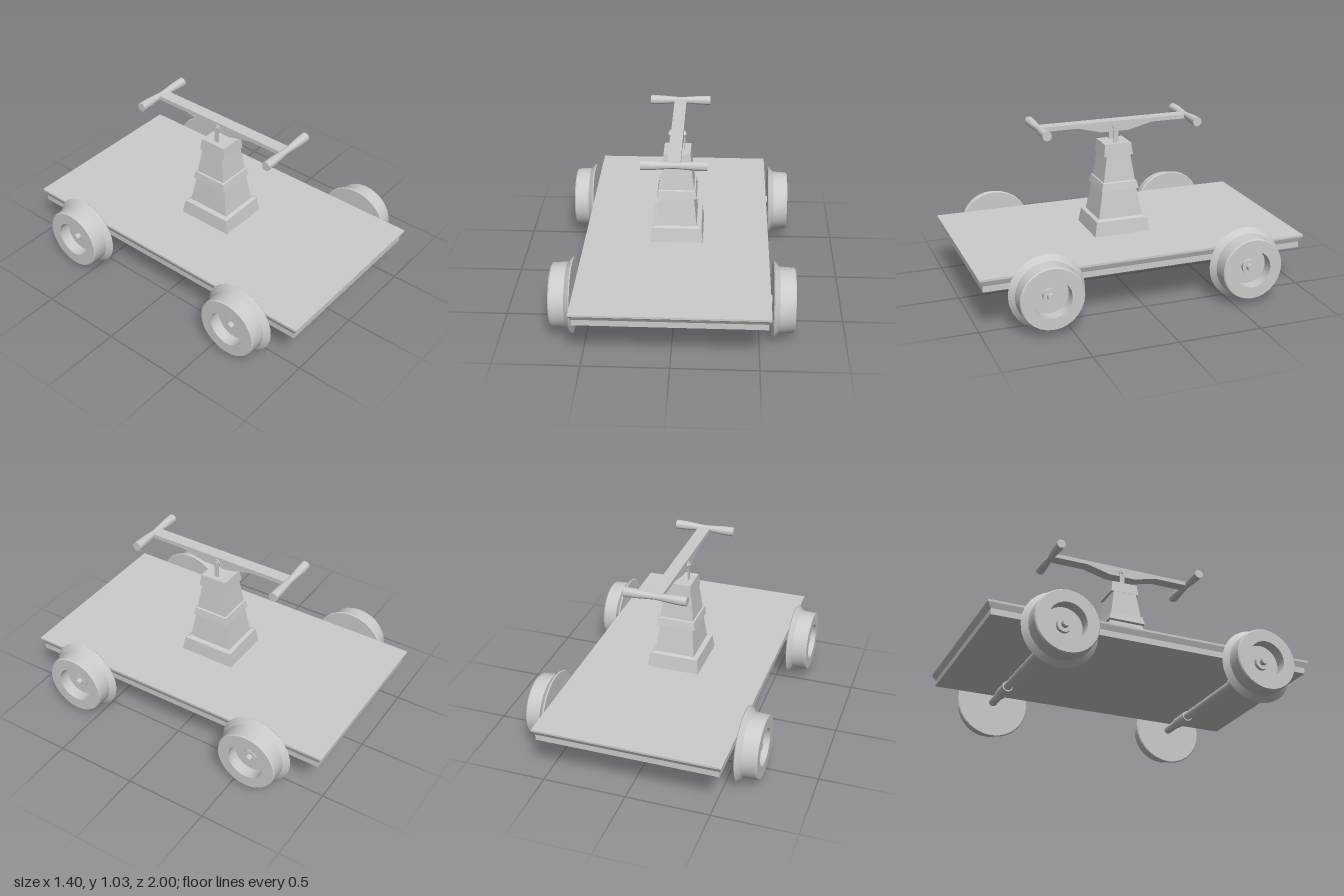
import * as THREE from 'three';
import { toCreasedNormals } from 'three/addons/utils/BufferGeometryUtils.js';

const material = new THREE.MeshStandardMaterial({ color: 0xcccccc });
const CZ = 0.013; // running gear and pump sit slightly forward of the deck centre

function part(parent, name, geometry, x = 0, y = 0, z = 0) {
  const mesh = new THREE.Mesh(geometry, material);
  mesh.name = name;
  mesh.position.set(x, y, z);
  parent.add(mesh);
  return mesh;
}

// Stack of rectangles [y, half width, half depth], flat faced and capped
function loft(sections) {
  const rings = sections.map(([y, w, d]) => [[w, y, d], [w, y, -d], [-w, y, -d], [-w, y, d]]);
  const out = [];
  const quad = (a, b, c, d) => out.push(...a, ...b, ...c, ...a, ...c, ...d);
  for (let i = 0; i < rings.length - 1; i++) {
    const lo = rings[i], hi = rings[i + 1];
    for (let k = 0; k < 4; k++) {
      const n = (k + 1) % 4;
      quad(lo[k], lo[n], hi[n], hi[k]);
    }
  }
  const top = rings[rings.length - 1], bottom = rings[0];
  quad(...top);
  quad(...[...bottom].reverse());
  const g = new THREE.BufferGeometry();
  g.setAttribute('position', new THREE.Float32BufferAttribute(out, 3));
  g.computeVertexNormals();
  return g;
}

// Turned solid lying along x; points are [radius, x]
function turned(points, segments) {
  const g = new THREE.LatheGeometry(points.map(([r, h]) => new THREE.Vector2(r, h)), segments);
  return toCreasedNormals(g.rotateZ(-Math.PI / 2), 0.5);
}

function rod(radius, length, segments = 16) {
  return new THREE.CylinderGeometry(radius, radius, length, segments).rotateZ(Math.PI / 2);
}

export function createModel() {
  const model = new THREE.Group();
  model.name = 'handcar';

  // Deck with an overhanging, undercut lip
  part(model, 'deck', loft([
    [0.257, 0.543, 0.978], [0.293, 0.543, 0.978],
    [0.32, 0.555, 0.995], [0.325, 0.557, 1], [0.337, 0.557, 1],
  ]));

  // Flanged wheels with a recessed face and a hub
  const wheelGeometry = turned([
    [0, 0.572], [0.218, 0.572], [0.224, 0.578], [0.218, 0.584], [0.192, 0.607],
    [0.188, 0.692], [0.182, 0.699], [0.112, 0.699], [0.112, 0.628], [0.043, 0.628],
    [0.043, 0.65], [0.021, 0.65], [0.021, 0.68], [0, 0.68],
  ], 28);
  for (const [end, z] of [['front', CZ + 0.61], ['rear', CZ - 0.61]]) {
    const set = new THREE.Group();
    set.name = end + 'WheelSet';
    set.position.set(0, 0.224, z);
    model.add(set);
    part(set, 'axle', rod(0.026, 1.16));
    for (const [side, s] of [['left', 1], ['right', -1]]) {
      part(set, side + 'Wheel', wheelGeometry).rotation.y = s > 0 ? 0 : Math.PI;
      part(set, side + 'AxleSleeve', rod(0.033, 0.142), s * 0.357);
    }
  }

  // Tapered pump tower
  const tower = new THREE.Group();
  tower.name = 'tower';
  tower.position.z = CZ;
  model.add(tower);
  part(tower, 'towerBase', loft([
    [0.33, 0.161, 0.177], [0.425, 0.15, 0.161], [0.432, 0.122, 0.139],
  ]));
  part(tower, 'lowerColumn', loft([[0.43, 0.122, 0.139], [0.6, 0.103, 0.108]]));
  part(tower, 'collar', loft([
    [0.598, 0.103, 0.108], [0.603, 0.12, 0.118], [0.65, 0.112, 0.107], [0.654, 0.103, 0.1],
  ]));
  part(tower, 'upperColumn', loft([[0.65, 0.103, 0.1], [0.81, 0.086, 0.075]]));
  part(tower, 'towerCap', loft([[0.81, 0.087, 0.092], [0.882, 0.08, 0.083]]));

  // Pivot brackets and pin
  for (const [side, s] of [['left', 1], ['right', -1]]) {
    part(tower, side + 'PivotPost', new THREE.BoxGeometry(0.007, 0.11, 0.03), s * 0.043, 0.925);
    part(tower, side + 'PivotEye', rod(0.022, 0.007, 20), s * 0.043, 0.978);
  }
  part(tower, 'pivotPin', rod(0.011, 0.108), 0, 0.978);

  // Rocking beam, deeper in the middle
  const outline = new THREE.Shape([
    [-0.465, 1.012], [-0.465, 0.986], [-0.235, 0.986], [-0.085, 0.949],
    [0.085, 0.949], [0.235, 0.986], [0.465, 0.986], [0.465, 1.012],
  ].map(([z, y]) => new THREE.Vector2(z, y)));
  const beam = new THREE.ExtrudeGeometry(outline, { depth: 0.074, bevelEnabled: false });
  beam.translate(0, 0, -0.037).rotateY(-Math.PI / 2);
  part(model, 'rockingBeam', beam, 0, 0, CZ + 0.003);

  // Waisted handles at both ends of the beam
  const handleGeometry = turned([
    [0, -0.186], [0.028, -0.186], [0.027, -0.12], [0.02, -0.03], [0.018, 0],
    [0.02, 0.03], [0.027, 0.12], [0.028, 0.186], [0, 0.186],
  ], 20);
  for (const [end, s] of [['front', 1], ['rear', -1]]) {
    part(model, end + 'Handle', handleGeometry, 0, 1, CZ + 0.003 + s * 0.468);
  }
  return model;
}
